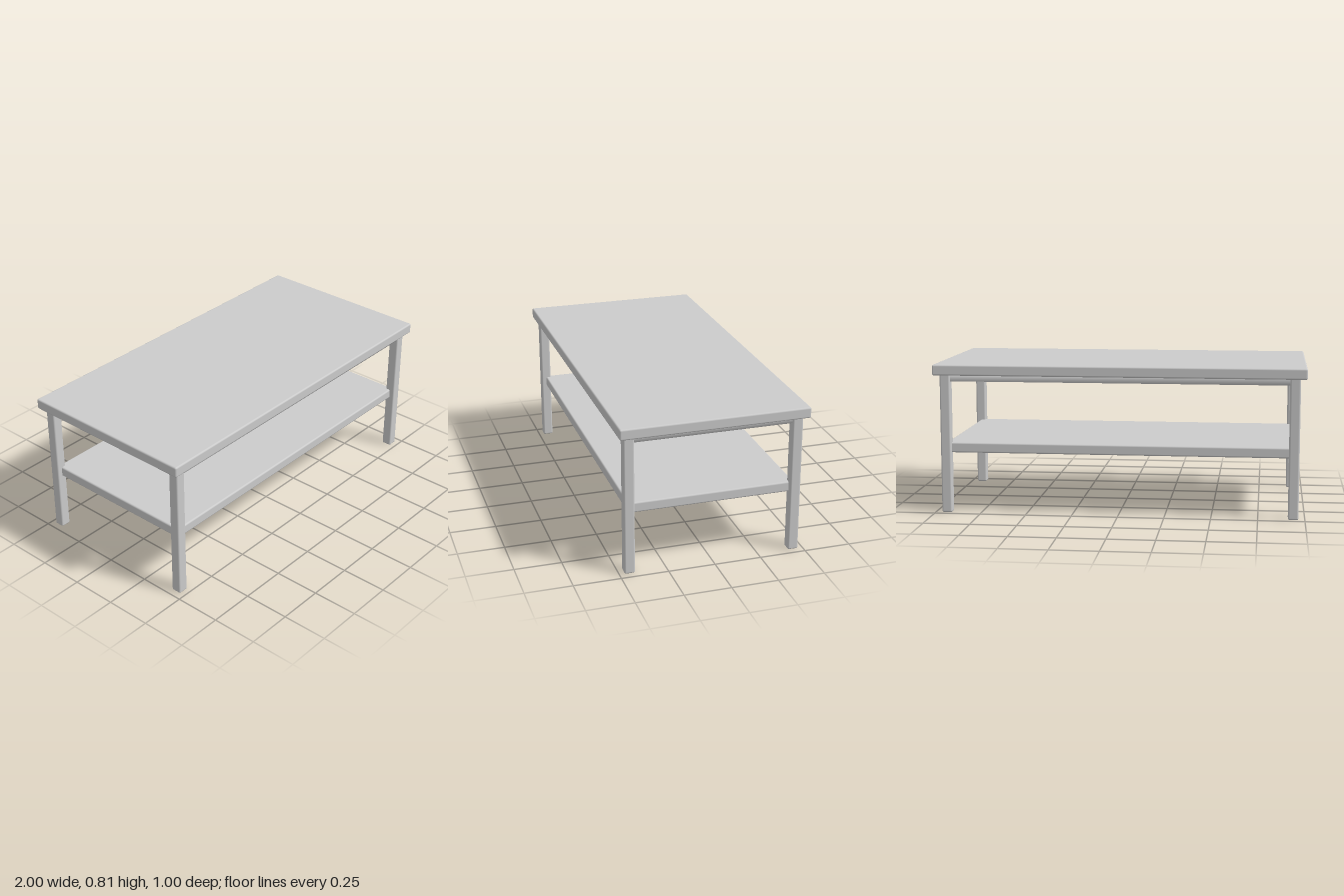
import * as THREE from 'three';
import { RoundedBoxGeometry } from 'three/addons/geometries/RoundedBoxGeometry.js';
import { mergeVertices } from 'three/addons/utils/BufferGeometryUtils.js';

const BAR = 0.056;   // leg width and board thickness
const LEG_X = 0.938; // leg centres
const LEG_Z = 0.445;

export function createModel() {
  const table = new THREE.Group();
  table.name = 'coffeeTable';
  const material = new THREE.MeshStandardMaterial({ color: 0xcccccc });

  const add = (name, geometry, x, y, z) => {
    const mesh = new THREE.Mesh(geometry, material);
    mesh.name = name;
    mesh.position.set(x, y, z);
    table.add(mesh);
  };
  const rounded = (w, h, d) => new RoundedBoxGeometry(w, h, d, 3, 0.009);

  // Plain box whose normals blend softly across its edges
  const softBox = (w, h, d) => {
    const box = new THREE.BoxGeometry(w, h, d);
    box.deleteAttribute('normal');
    box.deleteAttribute('uv');
    const soft = mergeVertices(box);
    soft.computeVertexNormals();
    return soft;
  };

  // Table top, and lower shelf reaching to the leg centres
  add('tableTop', rounded(2, 0.058, 1), 0, 0.782, 0);
  add('shelf', rounded(2 * LEG_X, BAR, 2 * LEG_Z), 0, 0.355, 0);

  // Four legs
  for (const sx of [-1, 1]) {
    for (const sz of [-1, 1]) {
      const name = (sz > 0 ? 'front' : 'back') + (sx > 0 ? 'Left' : 'Right') + 'Leg';
      add(name, rounded(BAR, 0.77, BAR), sx * LEG_X, 0.385, sz * LEG_Z);
    }
  }

  // Rails under the top, joining the legs
  for (const s of [-1, 1]) {
    add(s > 0 ? 'frontRail' : 'backRail', softBox(2 * LEG_X, 0.04, 0.037), 0, 0.739, s * LEG_Z);
    add(s > 0 ? 'leftRail' : 'rightRail', softBox(0.037, 0.04, 2 * LEG_Z), s * LEG_X, 0.739, 0);
  }

  return table;
}
